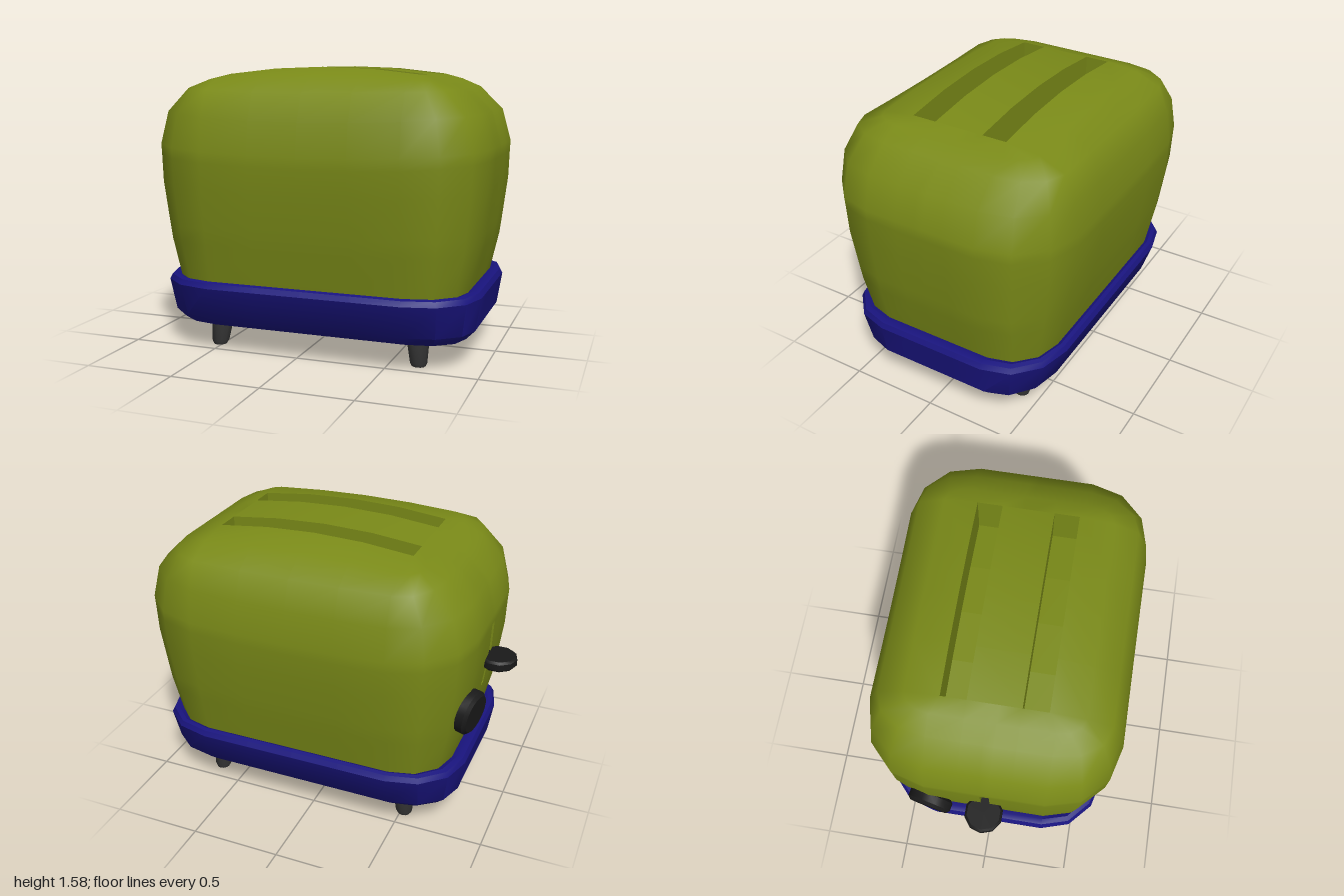
import * as THREE from 'three';
import { mergeVertices, toCreasedNormals } from 'three/addons/utils/BufferGeometryUtils.js';

const CX = 0.07; // centre of the housing along x
const IX = 0.55; // half length of the straight sides and of the bread slots
const SLOT_IN = 0.14, SLOT_OUT = 0.275, LEVER_W = 0.025;

const mat = (color, side = THREE.FrontSide) => new THREE.MeshStandardMaterial({ color, side });
const GREEN = 0x7a8a18, BLUE = 0x19147e, GREY = 0x3a3a3a, BLACK = 0x1a1a1a;

function mesh(name, geometry, material) {
  const m = new THREE.Mesh(geometry, material);
  m.name = name;
  return m;
}

// Rounded-rectangle loop; the height runs from yEnd at the x ends to yMid in the middle
function ring([sx, sz, yEnd, yMid = yEnd]) {
  const iz = Math.min(SLOT_OUT + (sz - SLOT_OUT) * 0.25, 0.32);
  const half = [];
  const corner = (dir) => {
    for (let k = 1; k <= 2; k++) {
      const a = k * Math.PI / 6 + (dir < 0 ? Math.PI / 2 : 0);
      half.push([dir * IX + Math.cos(a) * (sx - IX), -iz - Math.sin(a) * (sz - iz)]);
    }
  };
  for (const z of [iz, SLOT_IN, LEVER_W, -LEVER_W, -SLOT_IN, -iz]) half.push([sx, z]);
  corner(1);
  for (const t of [1, 0.5, 0, -0.5, -1]) half.push([t * IX, -sz]);
  corner(-1);
  const loop = [...half, ...half.map(([x, z]) => [-x, -z])];
  return loop.map(([x, z]) =>
    new THREE.Vector3(CX + x, yEnd + (yMid - yEnd) * (1 - (x / sx) ** 2), z));
}

// Geometry from a list of quads, each counter-clockwise seen from its front
function quadGeometry(quads) {
  const pos = [];
  for (const [a, b, c, d] of quads) for (const p of [a, b, c, a, c, d]) pos.push(p.x, p.y, p.z);
  const g = new THREE.BufferGeometry();
  g.setAttribute('position', new THREE.Float32BufferAttribute(pos, 3));
  return g;
}

function loft(rings, skip = () => false) {
  const quads = [];
  for (let r = 0; r + 1 < rings.length; r++) {
    const lo = rings[r], hi = rings[r + 1], n = lo.length;
    for (let i = 0; i < n; i++) {
      const j = (i + 1) % n;
      if (!skip(r, i)) quads.push([lo[i], lo[j], hi[j], hi[i]]);
    }
  }
  return quads;
}

// Recess: walls and floor pushed in from two matching edges of an opening
function recess(name, edgeA, edgeB, offset) {
  const quads = [], n = edgeA.length;
  const inner = (p) => p.clone().add(offset);
  const wall = (a, b) => quads.push([a, b, inner(b), inner(a)]);
  for (let i = 0; i + 1 < n; i++) {
    wall(edgeA[i], edgeA[i + 1]);
    wall(edgeB[i], edgeB[i + 1]);
    quads.push([edgeA[i], edgeA[i + 1], edgeB[i + 1], edgeB[i]].map(inner));
  }
  wall(edgeA[0], edgeB[0]);
  wall(edgeA[n - 1], edgeB[n - 1]);
  const g = quadGeometry(quads);
  g.computeVertexNormals();
  return mesh(name, g, mat(GREEN, THREE.DoubleSide));
}

function createHousing() {
  const group = new THREE.Group();
  group.name = 'housing';
  const rings = [
    [0.83, 0.585, 0.40], [0.88, 0.63, 0.62], [0.892, 0.643, 0.71], [0.922, 0.676, 0.95, 0.92],
    [0.927, 0.682, 1.10, 1.06], [0.93, 0.685, 1.16, 1.12], [0.88, 0.66, 1.34, 1.30],
    [0.75, 0.60, 1.465, 1.45], [0.64, 0.46, 1.51, 1.54], [IX, SLOT_OUT, 1.54, 1.58],
  ].map(ring);

  // Shell, open at the lever slit
  const quads = loft(rings, (r, i) => i === 17 && (r === 2 || r === 3));

  // Domed bridge between the two bread slots
  const line = (z) => [-1, -0.5, 0, 0.5, 1].map((t) =>
    new THREE.Vector3(CX + t * IX, 1.54 + 0.04 * (1 - t * t), z));
  const back = line(-SLOT_IN), front = line(SLOT_IN);
  for (let i = 0; i < 4; i++) quads.push([front[i], front[i + 1], back[i + 1], back[i]]);
  const shell = mergeVertices(quadGeometry(quads), 1e-4);
  shell.computeVertexNormals();
  group.add(mesh('shell', shell, mat(GREEN, THREE.DoubleSide)));

  // Bread slots
  for (const s of [1, -1]) {
    group.add(recess('breadSlot', line(s * SLOT_IN), line(s * SLOT_OUT), new THREE.Vector3(0, -0.25, 0)));
  }
  // Lever slit
  const slit = [2, 3, 4];
  group.add(recess('leverSlit', slit.map((r) => rings[r][17]), slit.map((r) => rings[r][18]),
    new THREE.Vector3(0.07, 0, 0)));
  return group;
}

function createBase() {
  const rings = [
    [0.825, 0.525, 0.15], [0.875, 0.58, 0.20], [0.905, 0.64, 0.38],
    [0.89, 0.625, 0.408], [0.86, 0.605, 0.415], [0.82, 0.575, 0.40],
  ].map(ring);
  // Close the underside
  rings.unshift(rings[0].map(() => new THREE.Vector3(CX, 0.15, 0)));
  return mesh('base', toCreasedNormals(quadGeometry(loft(rings)), 0.6), mat(BLUE));
}

function createLeg(sx, sz) {
  const profile = [[0, 0], [0.038, 0], [0.048, 0.02], [0.07, 0.2], [0, 0.2]]
    .map(([x, y]) => new THREE.Vector2(x, y));
  const g = toCreasedNormals(new THREE.LatheGeometry(profile, 12), 0.6);
  // Splay outwards towards the foot
  const p = g.attributes.position;
  for (let i = 0; i < p.count; i++) {
    const drop = 0.2 - p.getY(i);
    p.setX(i, p.getX(i) + sx * drop * 0.07);
    p.setZ(i, p.getZ(i) + sz * drop * 0.12);
  }
  const leg = mesh('leg', g, mat(GREY));
  leg.position.set(CX + sx * 0.575, 0, sz * 0.366);
  return leg;
}

// Bevelled disc around y
function disc(radius, height, bevel, sides) {
  const h = height / 2;
  const profile = [[0, -h], [radius - bevel, -h], [radius, bevel - h], [radius, h - bevel], [radius - bevel, h], [0, h]]
    .map(([x, y]) => new THREE.Vector2(x, y));
  return toCreasedNormals(new THREE.LatheGeometry(profile, sides), 0.7);
}

function createLever() {
  const lever = new THREE.Group();
  lever.name = 'lever';
  const grip = mesh('leverGrip', disc(0.105, 0.06, 0.012, 10), mat(BLACK));
  grip.position.set(-0.9, 0.885, 0);
  grip.rotation.y = Math.PI / 10;
  const stem = mesh('leverStem', new THREE.BoxGeometry(0.12, 0.04, 0.04), mat(BLACK));
  stem.position.set(-0.82, 0.885, 0);
  lever.add(grip, stem);
  return lever;
}

function createDial() {
  const dial = mesh('dial', disc(0.125, 0.08, 0.018, 20), mat(BLACK));
  const normal = new THREE.Vector3(-1, -0.13, -0.22).normalize();
  dial.quaternion.setFromUnitVectors(new THREE.Vector3(0, 1, 0), normal);
  dial.position.set(-0.838, 0.72, -0.32);
  return dial;
}

export function createModel() {
  const model = new THREE.Group();
  model.name = 'toaster';
  model.add(createHousing(), createBase(), createLever(), createDial());
  for (const sx of [1, -1]) for (const sz of [1, -1]) model.add(createLeg(sx, sz));
  return model;
}
